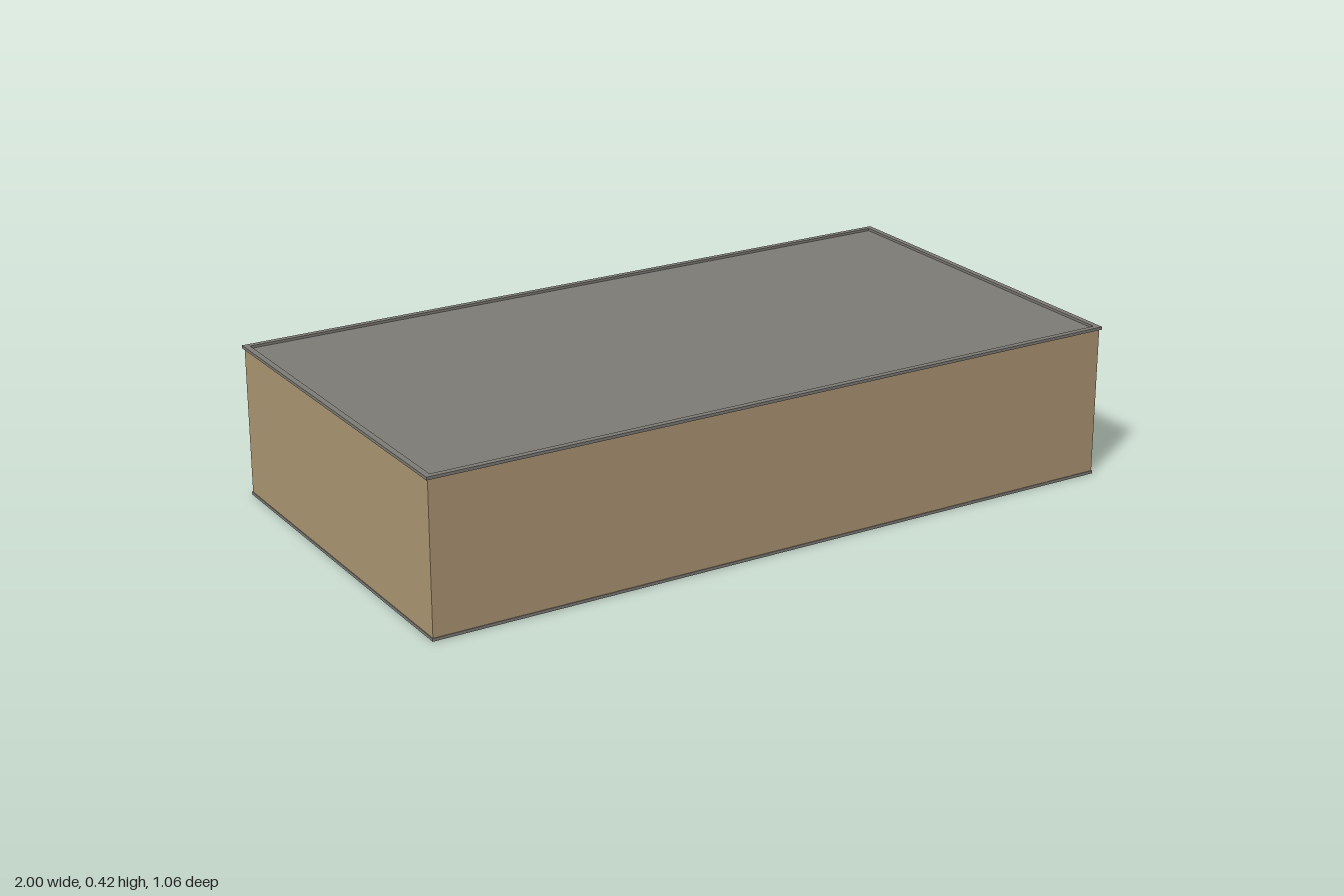
import * as THREE from 'three';

const W = 0.995, D = 0.525, H = 0.413, T = 0.01; // wall half length, half depth, height, thickness

const material = (name, color) => {
  const m = new THREE.MeshStandardMaterial({ color });
  m.name = name;
  return m;
};

// Rectangle as a closed path, used for outlines and openings
const rect = (PathType, x0, y0, x1, y1) => {
  const p = new PathType();
  p.moveTo(x0, y0);
  p.lineTo(x1, y0);
  p.lineTo(x1, y1);
  p.lineTo(x0, y1);
  p.closePath();
  return p;
};

export function createModel() {
  const model = new THREE.Group();
  model.name = 'warehouse';
  const tan = material('tan wall', 0xb09976);
  const grey = material('roof grey', 0x7f7d77);
  const teal = material('teal glass', 0x4fa5a5);
  const doorGrey = material('door grey', 0x7b7b7a);

  const add = (name, geometry, mat, x = 0, y = 0, z = 0) => {
    const mesh = new THREE.Mesh(geometry, mat);
    mesh.name = name;
    mesh.position.set(x, y, z);
    model.add(mesh);
    return mesh;
  };
  const box = (name, mat, w, h, d, x, y, z) =>
    add(name, new THREE.BoxGeometry(w, h, d), mat, x, y, z);

  // Horizontal rectangular ring lying between two heights
  const ring = (name, mat, hw, hd, width, y, height) => {
    const shape = rect(THREE.Shape, -hw, -hd, hw, hd);
    shape.holes.push(rect(THREE.Path, -hw + width, -hd + width, hw - width, hd - width));
    const g = new THREE.ExtrudeGeometry(shape, { depth: height, bevelEnabled: false });
    g.rotateX(-Math.PI / 2);
    return add(name, g, mat, 0, y, 0);
  };

  // Plain front and end walls, open underneath
  box('frontWall', tan, 2 * W, H, T, 0, H / 2, D - T / 2);
  for (const [name, s] of [['leftWall', 1], ['rightWall', -1]])
    box(name, tan, T, H, 2 * (D - T), s * (W - T / 2), H / 2, 0);

  // Back wall with recessed openings: x0, y0, x1, y1
  const openings = [
    ['stripWindow', teal, -0.18, 0.29, 0.64, 0.35],
    ['door', doorGrey, -0.72, 0.008, -0.57, 0.157],
    ['smallWindow', teal, -0.88, 0.053, -0.81, 0.157],
  ];
  const back = rect(THREE.Shape, -W, 0, W, H);
  for (const [name, mat, x0, y0, x1, y1] of openings) {
    back.holes.push(rect(THREE.Path, x0, y0, x1, y1));
    box(name, mat, x1 - x0, y1 - y0, 0.003, (x0 + x1) / 2, (y0 + y1) / 2, -D + T - 0.0015);
  }
  add('backWall', new THREE.ExtrudeGeometry(back, { depth: T, bevelEnabled: false }), tan, 0, 0, -D);

  // Roof sheet set slightly below its rim, and a thin strip at the foot
  box('roof', grey, 2 * (W - T), 0.005, 2 * (D - T), 0, 0.4105, 0);
  ring('roofRim', grey, 1, 0.53, 0.016, 0.412, 0.008);
  ring('baseStrip', grey, W + 0.002, D + 0.002, T, 0, 0.008);
  return model;
}
